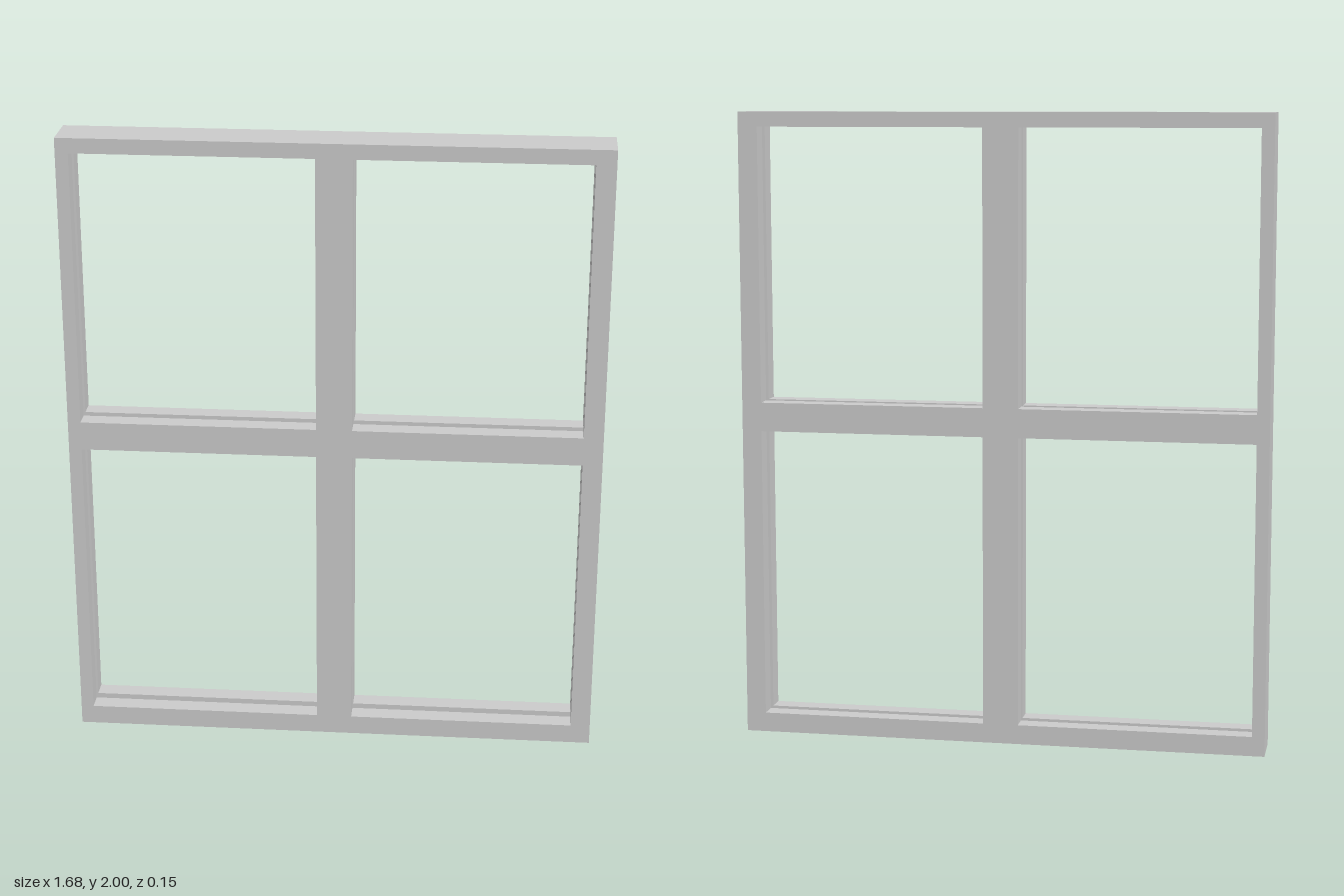
import * as THREE from 'three';

const HALF_W = 0.84, HEIGHT = 2, HALF_D = 0.073;
const GROOVE_HALF = 0.015, GROOVE_DEPTH = 0.025;
const COLUMNS = [[-0.8, -0.055], [0.058, 0.778]];
const ROWS = [[0.062, 0.988], [1.08, 1.953]];

const material = new THREE.MeshStandardMaterial({ color: 0xcccccc });

// Corners of a rectangle, counter-clockwise, grown outwards by o
const corners = (x0, y0, x1, y1, o = 0) => [
  [x0 - o, y0 - o], [x1 + o, y0 - o], [x1 + o, y1 + o], [x0 - o, y1 + o],
];

// Sweeps a profile of [outset, z] points around a rectangle with mitred corners
function sweepRectangle(rect, profile) {
  const positions = [];
  const point = (i, k) => {
    const [outset, z] = profile[i];
    return [...corners(...rect, outset)[k % 4], z];
  };
  for (let i = 0; i < profile.length - 1; i++) {
    for (let k = 0; k < 4; k++) {
      const a = point(i, k), b = point(i, k + 1), c = point(i + 1, k + 1), d = point(i + 1, k);
      positions.push(...a, ...b, ...c, ...a, ...c, ...d);
    }
  }
  const geometry = new THREE.BufferGeometry();
  geometry.setAttribute('position', new THREE.Float32BufferAttribute(positions, 3));
  geometry.computeVertexNormals();
  return geometry;
}

export function createModel() {
  const group = new THREE.Group();
  group.name = 'windowFrame';
  const add = (name, geometry) => {
    const mesh = new THREE.Mesh(geometry, material);
    mesh.name = name;
    group.add(mesh);
    return mesh;
  };

  const outer = [-HALF_W, 0, HALF_W, HEIGHT];
  const openings = ROWS.flatMap(([y0, y1]) => COLUMNS.map(([x0, x1]) => [x0, y0, x1, y1]));
  const toPoints = (rect) => corners(...rect).map(([x, y]) => new THREE.Vector2(x, y));

  // Front and back faces: stiles, rails and crossing bars around four openings
  const shape = new THREE.Shape(toPoints(outer));
  openings.forEach((rect) => shape.holes.push(new THREE.Path(toPoints(rect))));
  const front = new THREE.ShapeGeometry(shape);
  const back = front.clone();
  back.setIndex(Array.from(front.index.array).reverse());
  back.computeVertexNormals();
  add('frontFace', front).position.z = HALF_D;
  add('backFace', back).position.z = -HALF_D;

  // Outer edge of the frame
  add('outerEdge', sweepRectangle(outer, [[0, -HALF_D], [0, HALF_D]]));

  // Inner edges, each with a glazing groove running round the opening
  const groove = [
    [0, HALF_D], [0, GROOVE_HALF], [GROOVE_DEPTH, GROOVE_HALF],
    [GROOVE_DEPTH, -GROOVE_HALF], [0, -GROOVE_HALF], [0, -HALF_D],
  ];
  openings.forEach((rect) => add('groovedOpening', sweepRectangle(rect, groove)));

  return group;
}
